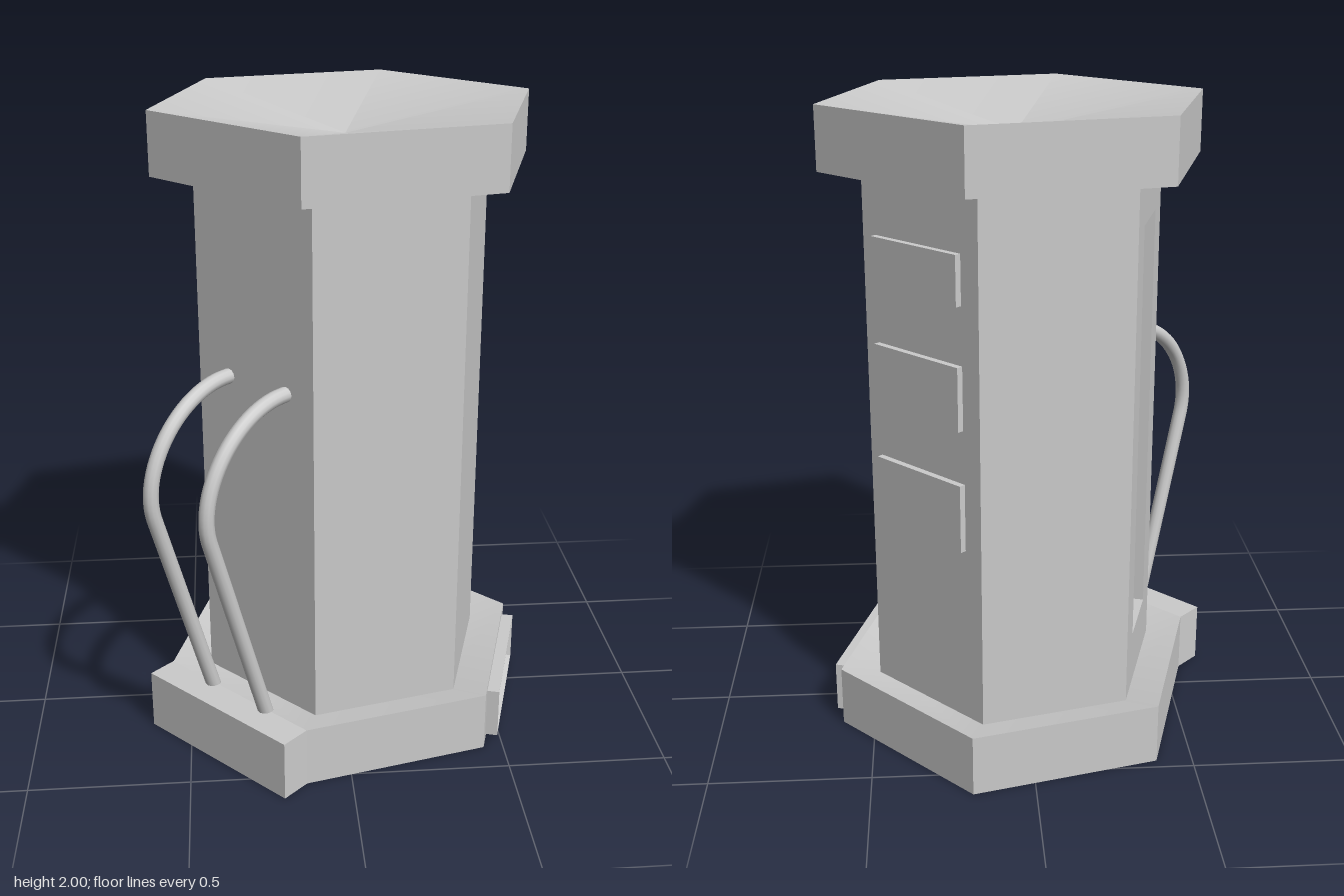
import * as THREE from 'three';

const deg = Math.PI / 180;
const CX = 0.025, CZ = -0.035;          // hexagon axis
const START = -76.2 * deg;              // turn of the hexagon
const R_BODY = 0.468, R_BASE = 0.596, R_INNER = 0.42;
const A_BODY = R_BODY * Math.cos(30 * deg), A_BASE = R_BASE * Math.cos(30 * deg);
const BASE_TOP = 0.195, CAP_BOTTOM = 1.81, HEIGHT = 2;
const SLOPE = 0.042;                    // fall of the sloping ledges towards the body
const BODY_LOW = BASE_TOP - SLOPE, BODY_HIGH = CAP_BOTTOM + SLOPE;

const flat = new THREE.MeshStandardMaterial({ color: 0xcccccc, flatShading: true });
const smooth = new THREE.MeshStandardMaterial({ color: 0xcccccc });

function add(parent, name, geometry, x = 0, y = 0, z = 0, material = flat) {
  const mesh = new THREE.Mesh(geometry, material);
  mesh.name = name;
  mesh.position.set(x, y, z);
  parent.add(mesh);
  return mesh;
}

// Six-sided ring surface from a profile of [radius, height] points
function hexLathe(profile) {
  return new THREE.LatheGeometry(profile.map(([r, y]) => new THREE.Vector2(r, y)), 6, START);
}

// Group at the axis whose local +z points out of the side facing the given angle
function side(parent, name, angle) {
  const group = new THREE.Group();
  group.name = name;
  group.position.set(CX, 0, CZ);
  group.rotation.y = (90 - angle) * deg;
  parent.add(group);
  return group;
}

// Rectangular rings [width, height, z] joined in turn, closed on the last one
function rectLoft(rings) {
  const pos = [], index = [];
  for (const [w, h, z] of rings) {
    for (const [sx, sy] of [[-1, -1], [1, -1], [1, 1], [-1, 1]]) pos.push(sx * w / 2, sy * h / 2, z);
  }
  for (let r = 0; r < rings.length - 1; r++) {
    for (let i = 0; i < 4; i++) {
      const a = r * 4 + i, b = r * 4 + (i + 1) % 4;
      index.push(a, b, b + 4, a, b + 4, a + 4);
    }
  }
  const e = (rings.length - 1) * 4;
  index.push(e, e + 1, e + 2, e, e + 2, e + 3);
  const g = new THREE.BufferGeometry();
  g.setAttribute('position', new THREE.Float32BufferAttribute(pos, 3));
  g.setIndex(index);
  g.computeVertexNormals();
  return g;
}

export function createModel() {
  const model = new THREE.Group();
  model.name = 'hexagonalPump';

  // Base and cap, with ledges sloping in to the body and a dished top
  add(model, 'base', hexLathe([[0, 0], [R_BASE, 0], [R_BASE, BASE_TOP]]), CX, 0, CZ);
  add(model, 'baseLedge', hexLathe([[R_BASE, BASE_TOP], [R_INNER, BODY_LOW]]), CX, 0, CZ, smooth);
  add(model, 'capLedge', hexLathe([[R_INNER, BODY_HIGH], [R_BASE, CAP_BOTTOM]]), CX, 0, CZ, smooth);
  add(model, 'capRim', hexLathe([[R_BASE, CAP_BOTTOM], [R_BASE, HEIGHT]]), CX, 0, CZ);
  add(model, 'capDish', hexLathe([[R_BASE, HEIGHT], [0, HEIGHT - 0.1]]), CX, 0, CZ, smooth);

  // Five plain sides of the body
  const bodyH = BODY_HIGH - BODY_LOW;
  add(model, 'body', new THREE.CylinderGeometry(R_BODY, R_BODY, bodyH, 5, 1, true, START, 300 * deg),
    CX, BODY_LOW + bodyH / 2, CZ);

  // Sixth side with a tall recess
  const recessed = side(model, 'recessedSide', 196.2);
  const depth = 0.062, half = R_BODY / 2;
  const wall = new THREE.Shape([[-half, BODY_LOW], [half, BODY_LOW], [half, BODY_HIGH], [-half, BODY_HIGH]]
    .map(([x, y]) => new THREE.Vector2(x, y)));
  wall.holes.push(new THREE.Path([[-0.12, 0.34], [-0.12, 1.66], [0.12, 1.66], [0.12, 0.34]]
    .map(([x, y]) => new THREE.Vector2(x, y))));
  add(recessed, 'recessedWall', new THREE.ExtrudeGeometry(wall, { depth, bevelEnabled: false }), 0, 0, A_BODY - depth);
  add(recessed, 'recessBack', new THREE.PlaneGeometry(0.24, 1.32), 0, 1, A_BODY - depth);

  // Three raised plates
  const plates = side(model, 'plates', -43.8);
  for (const [low, high, width] of [[1.478, 1.627, 0.346], [1.108, 1.302, 0.348], [0.73, 0.942, 0.354]]) {
    add(plates, 'plate', new THREE.BoxGeometry(width, high - low, 0.04), -0.007, (low + high) / 2, A_BODY);
  }

  // Panel on the base with a narrow bevel falling to a shallow sunken face
  const panel = side(model, 'basePanel', 16.2);
  add(panel, 'panelFrame', rectLoft([
    [0.495, 0.164, 0], [0.495, 0.164, 0.038], [0.485, 0.157, 0.038], [0.452, 0.134, 0.02],
  ]), 0, 0.098, A_BASE);

  // Step on the base with two hoses rising to the body
  const hoses = side(model, 'hoseSide', 136.2);
  add(hoses, 'baseStep', new THREE.BoxGeometry(R_BASE, BASE_TOP, 0.099), 0, BASE_TOP / 2, A_BASE + 0.0495);
  const at = (out, y) => new THREE.Vector3(0, y, out);
  const path = new THREE.CurvePath();
  path.add(new THREE.LineCurve3(at(-0.03, 1.216), at(0.02, 1.216)));
  path.add(new THREE.CubicBezierCurve3(at(0.02, 1.216), at(0.21, 1.216), at(0.374, 1.02), at(0.32, 0.85)));
  path.add(new THREE.LineCurve3(at(0.32, 0.85), at(0.095, 0.14)));
  const tube = new THREE.TubeGeometry(path, 64, 0.0235, 12, false);
  for (const s of [-1, 1]) add(hoses, 'hose', tube, s * 0.117 + 0.008, 0, A_BODY, smooth);

  return model;
}
